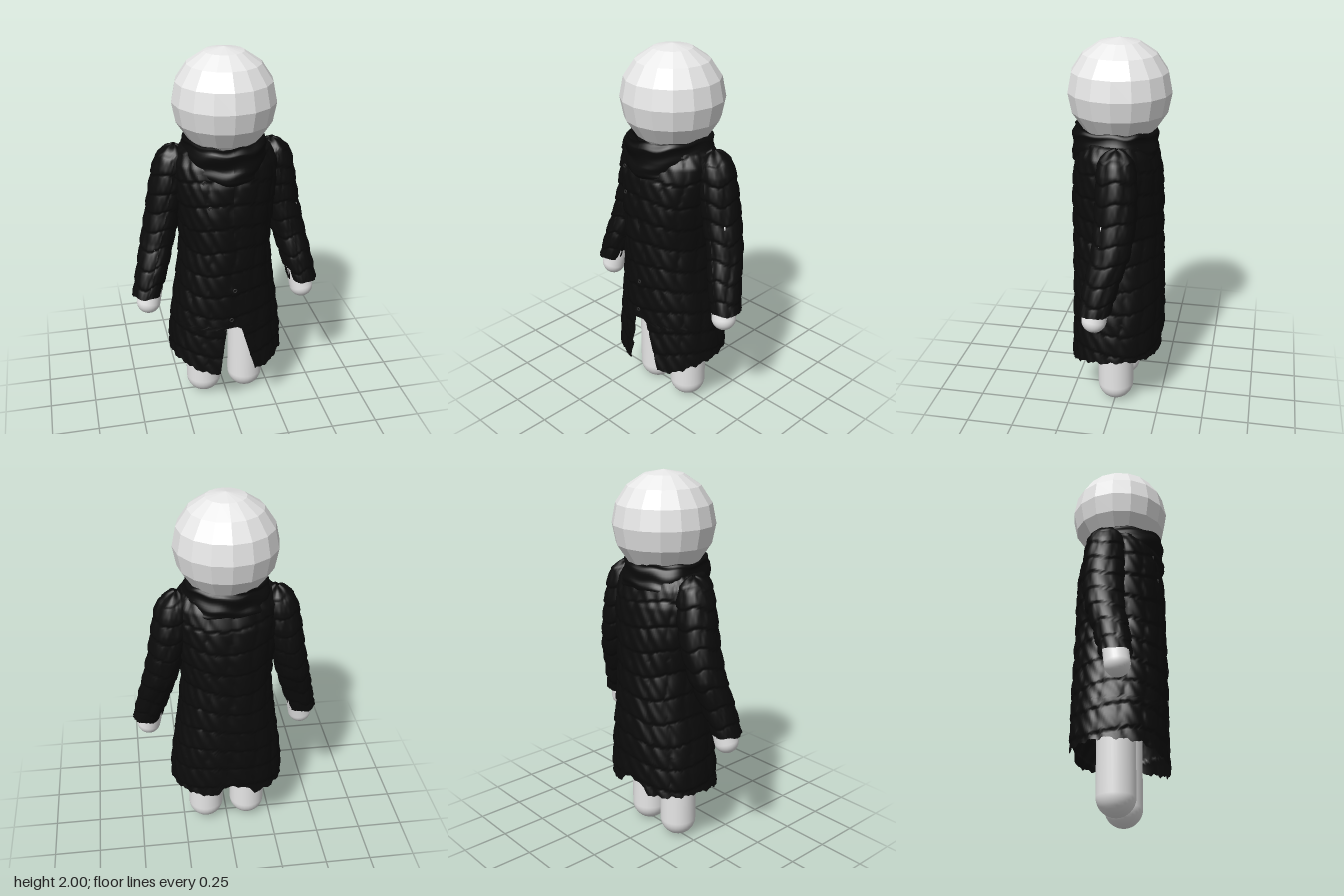
import * as THREE from 'three';

const TAU = Math.PI * 2;

// Linear lookup in rows of [key, a, b, ...] with a falling key
function lookup(rows, key) {
  let i = 0;
  while (i < rows.length - 2 && key < rows[i + 1][0]) i++;
  const t = THREE.MathUtils.clamp((rows[i][0] - key) / (rows[i][0] - rows[i + 1][0]), 0, 1);
  return rows[i].map((a, k) => a + (rows[i + 1][k] - a) * t);
}

// Sheet from fn(u, v) -> [x, y, z]; u runs to the right and v downward seen from outside
function sheet(fn, nu, nv) {
  const pos = [], index = [];
  for (let j = 0; j <= nv; j++) for (let i = 0; i <= nu; i++) pos.push(...fn(i / nu, j / nv));
  for (let j = 0; j < nv; j++) for (let i = 0; i < nu; i++) {
    const a = j * (nu + 1) + i, c = a + nu + 1;
    index.push(a, c, a + 1, a + 1, c, c + 1);
  }
  const g = new THREE.BufferGeometry();
  g.setAttribute('position', new THREE.Float32BufferAttribute(pos, 3));
  g.setIndex(index);
  g.computeVertexNormals();
  return g;
}

// Puffy quilted tiles whose lower lips stick out; columns repeat around the angle
function quilt(theta, y, cols, rowHeight) {
  const r = y / rowHeight + 0.13 * Math.sin(theta * 3 + y * 4);
  const c = theta / TAU * cols + 0.12 * Math.sin(y * 17);
  const down = 1 - (r - Math.floor(r));
  const puff = Math.pow(Math.abs(Math.sin(Math.PI * r) * Math.sin(Math.PI * c)), 0.4);
  return 0.009 * puff + 0.007 * down * down + 0.002 * Math.sin(theta * 23 + y * 61);
}

// Coat body: y, half width, front depth, back depth
const BODY = [
  [1.53, 0.12, 0.13, 0.11], [1.50, 0.23, 0.17, 0.15], [1.44, 0.26, 0.20, 0.18],
  [1.35, 0.262, 0.225, 0.21], [1.20, 0.25, 0.235, 0.222], [1.00, 0.23, 0.235, 0.225],
  [0.80, 0.25, 0.237, 0.232], [0.60, 0.28, 0.238, 0.237], [0.45, 0.298, 0.24, 0.238],
  [0.25, 0.312, 0.248, 0.238],
];
const soft = (s) => Math.sign(s) * Math.pow(Math.abs(s), 0.9);

function bodyPoint(theta, y, lift = 0) {
  const [, rx, rf, rb] = lookup(BODY, y);
  const d = quilt(theta, y, 14, 0.125) + lift;
  const c = Math.cos(theta);
  return [(rx + d) * soft(Math.sin(theta)), y, ((c > 0 ? rf : rb) + d) * soft(c)];
}

function angleAt(x, y) {
  const t = x / lookup(BODY, y)[1];
  return Math.sign(t) * Math.asin(Math.pow(Math.abs(t), 1 / 0.9));
}

// Hem height: pointed at the front opening, raised at the middle of the back
const HEM = [[3.15, 0.385], [2.95, 0.37], [2.8, 0.32], [2.3, 0.325], [1.6, 0.335], [0.9, 0.315], [0.2, 0.262]];
function hem(theta) {
  const a = theta > Math.PI ? TAU - theta : theta;
  return lookup(HEM, a)[1] + 0.006 * Math.sin(theta * 19) + 0.004 * Math.sin(theta * 41);
}

// Front opening below the last button
function coatBody(u, v) {
  const y = 1.53 + (hem(u * TAU) - 1.53) * v;
  const t = THREE.MathUtils.clamp((0.54 - y) / 0.28, 0, 1);
  const open = y < 0.545;
  const start = open ? angleAt(0.042 + 0.078 * t, y) : 0;
  const end = TAU + (open ? angleAt(-0.035 - 0.035 * t, y) : 0);
  return bodyPoint(start + (end - start) * u, y);
}

// Diagonal front flap: y, x of its outer edge
const FLAP = [[1.42, -0.16], [1.25, -0.13], [0.93, -0.03], [0.75, -0.01], [0.55, -0.035]];
function flap(u, v) {
  const y = 1.42 - 0.87 * v;
  const x = lookup(FLAP, y)[1] + 0.075 * u;
  return bodyPoint(angleAt(x, y), y, 0.008 * (1 - u));
}

// Cowl collar rings: step, y, half width, front depth, back depth, droop at the front
const COLLAR = [
  [6, 1.49, 0.15, 0.16, 0.14, 0], [5, 1.545, 0.185, 0.205, 0.165, 0], [4, 1.56, 0.20, 0.232, 0.18, 0],
  [3, 1.53, 0.213, 0.245, 0.192, 0.01], [2, 1.47, 0.22, 0.235, 0.20, 0.03],
  [1, 1.43, 0.225, 0.245, 0.205, 0.05], [0, 1.40, 0.19, 0.20, 0.18, 0.06],
];
function collar(u, v) {
  const th = u * TAU, c = Math.cos(th);
  const [, y, rx, rf, rb, droop] = lookup(COLLAR, 6 * (1 - v));
  const fold = 0.005 * Math.sin(th * 5 + v * 9) + 0.004 * Math.sin(v * 28 + 3 * Math.sin(th));
  return [(rx + fold) * Math.sin(th), y - droop * Math.max(c, 0) ** 2 + 0.004 * Math.sin(th * 9),
    ((c > 0 ? rf : rb) + fold) * soft(c)];
}

// Sleeve rings: y, centre x, half width, centre z, half depth
const SLEEVE = [
  [1.51, 0.255, 0.01, -0.03, 0.01], [1.50, 0.26, 0.035, -0.03, 0.045], [1.46, 0.268, 0.07, -0.03, 0.08],
  [1.40, 0.275, 0.085, -0.032, 0.09], [1.30, 0.288, 0.092, -0.035, 0.097], [1.15, 0.318, 0.086, -0.035, 0.097],
  [1.00, 0.355, 0.082, -0.02, 0.092], [0.85, 0.393, 0.076, 0.02, 0.082], [0.705, 0.432, 0.068, 0.048, 0.072],
];
function sleeve(side) {
  return (u, v) => {
    const th = u * TAU, y = 1.51 - 0.805 * v;
    const [, cx, rx, cz, rz] = lookup(SLEEVE, y);
    const d = quilt(th, y + 0.03, 6, 0.1) * Math.min(1, v * 12);
    return [side * cx + (rx + d) * Math.sin(th), y + 0.004 * Math.sin(th * 5), cz + (rz + d) * Math.cos(th)];
  };
}

export function createModel() {
  const model = new THREE.Group();
  const skin = new THREE.MeshStandardMaterial({ color: 0xe7e7e7 });
  skin.name = 'pale grey';
  const headSkin = skin.clone();
  headSkin.flatShading = true;
  headSkin.name = 'pale grey faceted';
  const cloth = new THREE.MeshStandardMaterial({ color: 0x0b0b0b, side: THREE.DoubleSide });
  cloth.name = 'black cloth';
  const metal = new THREE.MeshStandardMaterial({ color: 0x2a2a2a });
  metal.name = 'dark button';

  const add = (name, geometry, material) => {
    const mesh = new THREE.Mesh(geometry, material);
    mesh.name = name;
    model.add(mesh);
    return mesh;
  };
  // Round-ended limb between two end centres
  const limb = (name, from, to, radius) => {
    const a = new THREE.Vector3(...from), b = new THREE.Vector3(...to);
    const dir = b.clone().sub(a);
    const mesh = add(name, new THREE.CapsuleGeometry(radius, dir.length(), 10, 28), skin);
    mesh.position.copy(a).add(b).multiplyScalar(0.5);
    mesh.quaternion.setFromUnitVectors(new THREE.Vector3(0, 1, 0), dir.normalize());
  };

  // Body
  add('head', new THREE.SphereGeometry(0.265, 16, 8), headSkin).position.y = 1.735;
  limb('torso', [0, 0.6, 0], [0, 1.36, 0], 0.165);
  for (const [side, label] of [[1, 'left'], [-1, 'right']]) {
    limb(label + 'Leg', [side * 0.12, 0.098, 0], [side * 0.12, 0.62, 0], 0.098);
    limb(label + 'Arm', [side * 0.30, 1.32, -0.035], [side * 0.426, 0.655, 0.055], 0.064);
    add(label + 'Sleeve', sheet(sleeve(side), 48, 100), cloth);
  }

  // Coat
  add('coatBody', sheet(coatBody, 144, 130), cloth);
  add('frontFlap', sheet(flap, 8, 90), cloth);
  add('collar', sheet(collar, 72, 36), cloth);

  // Buttons along the flap
  for (const y of [1.38, 1.25, 0.78, 0.6]) {
    const x = lookup(FLAP, y)[1] + 0.018;
    const button = add('button', new THREE.TorusGeometry(0.009, 0.003, 6, 12), metal);
    button.position.set(...bodyPoint(angleAt(x, y), y, 0.009));
  }
  return model;
}
